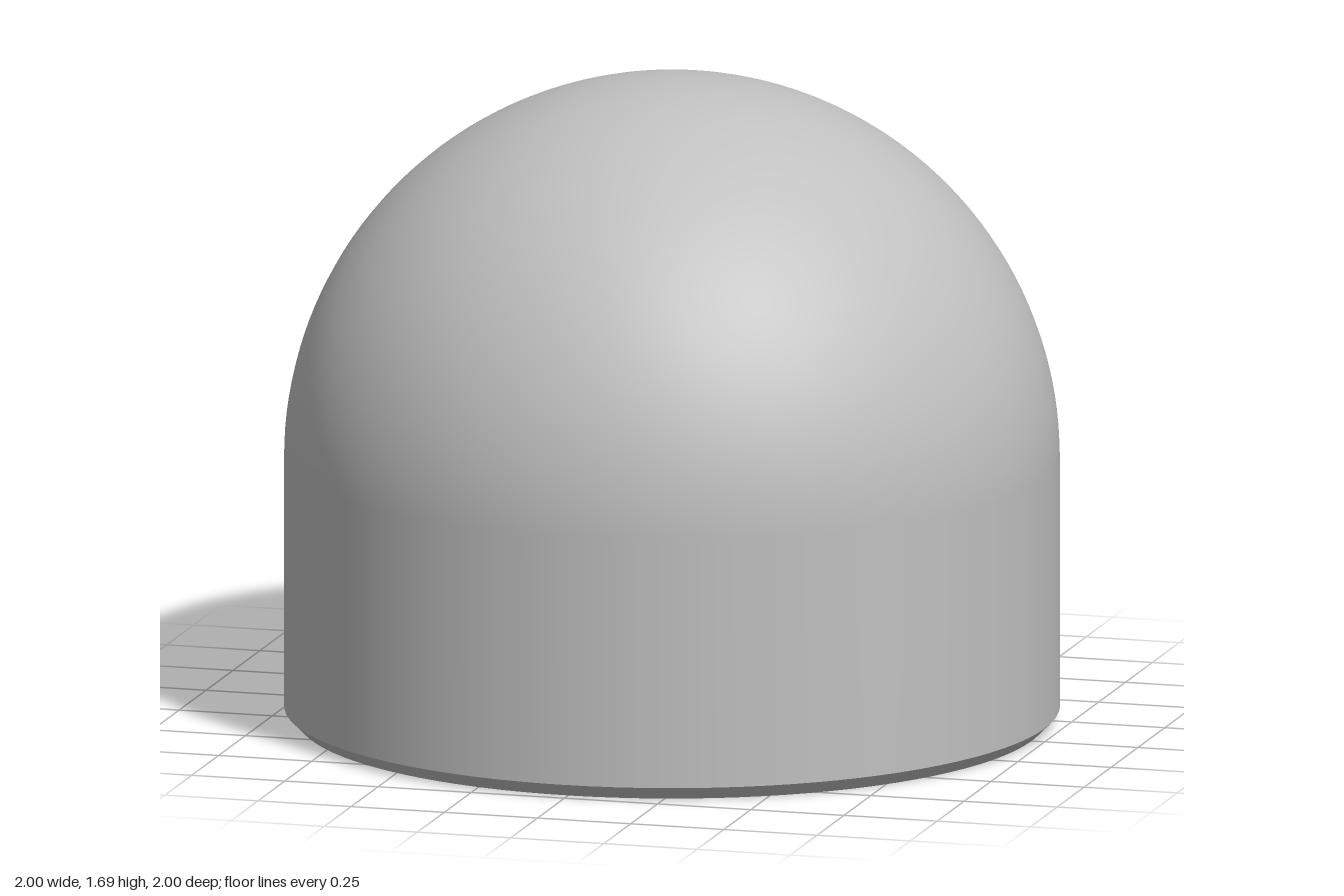
import * as THREE from 'three';

const SEGMENTS = 96;
const RECESS_R = 0.745, RECESS_Y = 0.365; // wide pocket in the base
const HOLE_R = 0.19, HOLE_RING = 0.373, HOLE_TOP = 0.95; // blind bores above it

export function createModel() {
  const model = new THREE.Group();
  model.name = 'domedCap';
  const grey = new THREE.MeshStandardMaterial({ color: 0xc0c0c0 });
  grey.name = 'plain grey';

  const add = (name, geometry, parent = model) => {
    const mesh = new THREE.Mesh(geometry, grey);
    mesh.name = name;
    parent.add(mesh);
    return mesh;
  };
  // Surface of revolution; separate calls keep the edges between parts sharp
  const revolve = (points, segments = SEGMENTS) =>
    new THREE.LatheGeometry(points.map(([r, y]) => new THREE.Vector2(r, y)), segments);

  // Cylindrical wall running smoothly into a hemisphere
  const shell = [[1, 0.035]];
  for (let i = 0; i <= 40; i++) {
    const a = (i / 40) * Math.PI / 2;
    shell.push([i === 40 ? 0 : Math.cos(a), 0.69 + Math.sin(a)]);
  }
  add('domeShell', revolve(shell));

  // Chamfered base rim and recess wall
  add('outerChamfer', revolve([[0.965, 0], [1, 0.035]]));
  add('baseRim', revolve([[0.79, 0], [0.965, 0]]));
  add('innerChamfer', revolve([[RECESS_R, 0.04], [0.79, 0]]));
  add('recessWall', revolve([[RECESS_R, RECESS_Y], [RECESS_R, 0.04]]));

  // Recess ceiling, pierced by four bores
  const ceiling = new THREE.Shape().absarc(0, 0, RECESS_R, 0, Math.PI * 2);
  for (let i = 0; i < 4; i++) {
    const a = i * Math.PI / 2;
    const x = HOLE_RING * Math.cos(a), z = HOLE_RING * Math.sin(a);
    ceiling.holes.push(new THREE.Path().absarc(x, z, HOLE_R, 0, Math.PI * 2, true));

    const bore = new THREE.Group();
    bore.name = 'bore';
    bore.position.set(x, 0, z);
    add('boreWall', revolve([[HOLE_R, HOLE_TOP], [HOLE_R, RECESS_Y]]), bore);
    add('boreEnd', revolve([[0, HOLE_TOP], [HOLE_R, HOLE_TOP]]), bore);
    model.add(bore);
  }
  const ceilingGeometry = new THREE.ShapeGeometry(ceiling, SEGMENTS);
  ceilingGeometry.rotateX(Math.PI / 2);
  add('recessCeiling', ceilingGeometry).position.y = RECESS_Y;

  return model;
}
